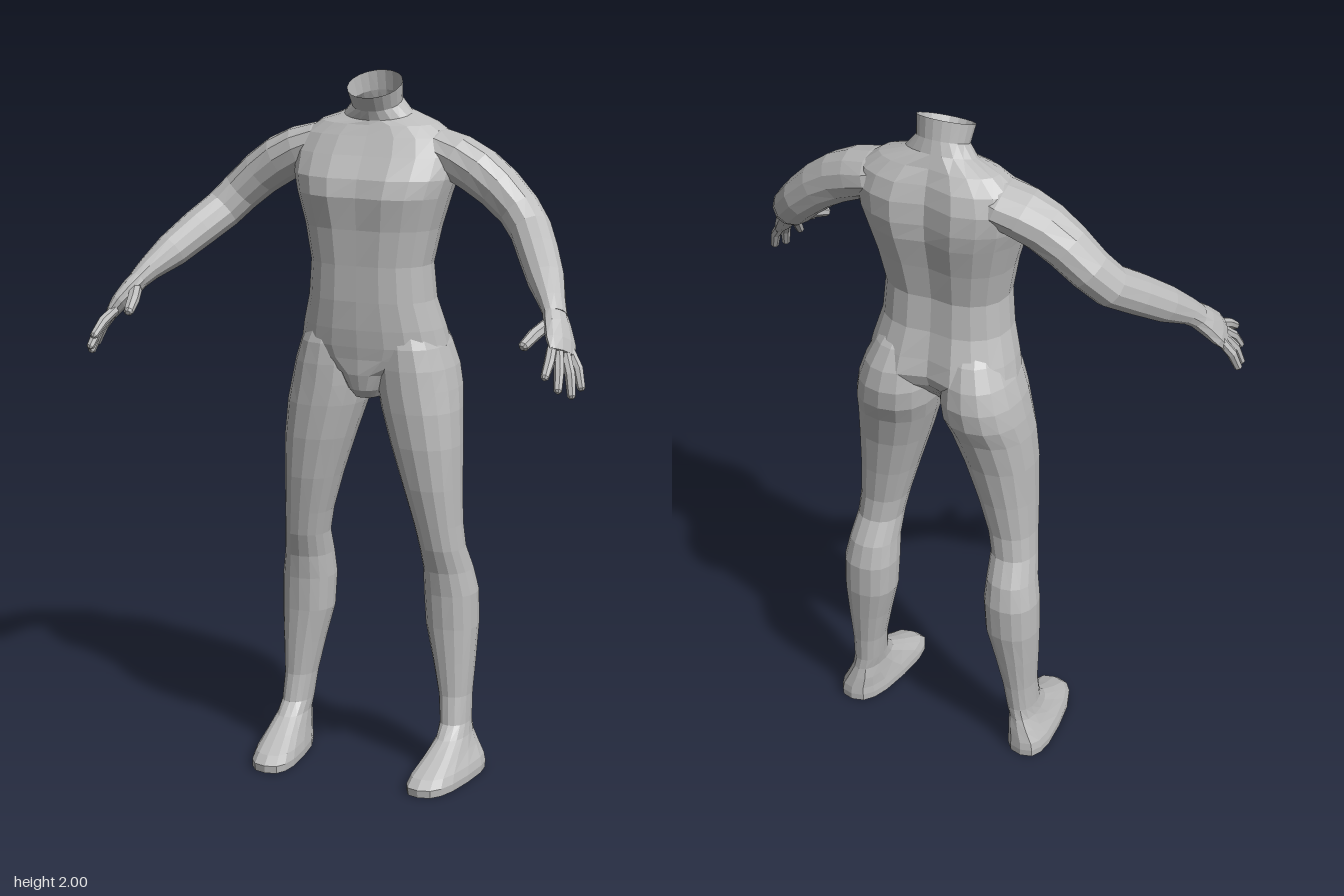
import * as THREE from 'three';

const skin = new THREE.MeshStandardMaterial({ color: 0xbcbcbc, flatShading: true, side: THREE.DoubleSide });
skin.name = 'plain grey';

// Skin a list of rings (arrays of Vector3); mirrored copies use side = -1
function loft(name, rings, { side = 1, capEnd = true } = {}) {
  const pos = [];
  const tri = (a, b, c) => {
    for (const p of side > 0 ? [a, b, c] : [a, c, b]) pos.push(p.x * side, p.y, p.z);
  };
  const n = rings[0].length;
  const middle = (ring) => ring.reduce((s, p) => s.add(p), new THREE.Vector3()).divideScalar(n);
  const last = rings[rings.length - 1];
  const c0 = middle(rings[0]), c1 = middle(last);
  for (let j = 0; j < n; j++) {
    const k = (j + 1) % n;
    for (let i = 0; i < rings.length - 1; i++) {
      const a = rings[i][j], b = rings[i][k], c = rings[i + 1][k], d = rings[i + 1][j];
      tri(a, d, b);
      tri(b, d, c);
    }
    tri(c0, rings[0][j], rings[0][k]);
    if (capEnd) tri(c1, last[k], last[j]);
  }
  const geo = new THREE.BufferGeometry();
  geo.setAttribute('position', new THREE.Float32BufferAttribute(pos, 3));
  geo.computeVertexNormals();
  const mesh = new THREE.Mesh(geo, skin);
  mesh.name = name;
  return mesh;
}

const soft = (v, e) => Math.sign(v) * Math.pow(Math.abs(v), e);

// Horizontal ring: centre x, half width, front and back z, squareness, centre grooves, tilt, toe-in
function level(y, cx, hw, zf, zb, { n = 20, e = 1, back = 0, front = 0, tilt = 0, shear = 0 } = {}) {
  const mid = (zf + zb) / 2, hz = (zf - zb) / 2;
  return Array.from({ length: n }, (_, j) => {
    const a = (j / n) * Math.PI * 2;
    const x = hw * soft(Math.cos(a), e), s = soft(Math.sin(a), e);
    const near = Math.max(0, 1 - Math.abs(x) / 0.08);
    const z = mid + hz * s + near * (s < 0 ? back : -front);
    return new THREE.Vector3(cx + x - shear * hz * s, y - tilt * s, z);
  });
}

// Elliptical tube through points [x, y, z, width radius, thickness radius]
const SPREAD = new THREE.Vector3(-0.35, 0.25, 1);
function limb(name, path, n, side) {
  const pts = path.map((p) => new THREE.Vector3(p[0], p[1], p[2]));
  const rings = pts.map((p, i) => {
    const t = pts[Math.min(i + 1, pts.length - 1)].clone().sub(pts[Math.max(i - 1, 0)]).normalize();
    const s = SPREAD.clone().addScaledVector(t, -SPREAD.dot(t)).normalize();
    const u = s.clone().cross(t);
    return Array.from({ length: n }, (_, j) => {
      const a = (j / n) * Math.PI * 2;
      return p.clone().addScaledVector(s, Math.cos(a) * path[i][3]).addScaledVector(u, Math.sin(a) * path[i][4]);
    });
  });
  return loft(name, rings, { side });
}

// y, half width, front z, back z, spine groove, chest groove, tilt
const TORSO = [
  [1.10, 0.035, -0.05, -0.14, 0, 0, 0],
  [1.125, 0.052, -0.026, -0.17, 0.01, 0, 0],
  [1.17, 0.085, -0.016, -0.235, 0.03, 0, 0],
  [1.215, 0.19, -0.015, -0.275, 0.03, 0, 0],
  [1.25, 0.215, -0.01, -0.288, 0.03, 0, 0],
  [1.30, 0.205, -0.005, -0.275, 0.025, 0, 0],
  [1.38, 0.183, 0, -0.25, 0.015, 0.004, 0],
  [1.48, 0.175, 0, -0.242, 0.015, 0.006, 0],
  [1.58, 0.195, 0.004, -0.262, 0.02, 0.008, 0],
  [1.67, 0.22, 0.018, -0.287, 0.025, 0.014, 0],
  [1.72, 0.235, 0.004, -0.295, 0.03, 0.012, 0],
  [1.78, 0.24, -0.038, -0.292, 0.03, 0.008, 0],
  [1.83, 0.22, -0.07, -0.275, 0.025, 0.006, 0],
  [1.865, 0.17, -0.088, -0.25, 0.015, 0.004, 0.006],
  [1.889, 0.1, -0.096, -0.224, 0, 0, 0.018],
  [1.92, 0.072, -0.088, -0.214, 0, 0, 0.024],
  [1.968, 0.078, -0.062, -0.205, 0, 0, 0.032],
];

// y, centre x, half width, front z, back z, toe-in
const LEG = [
  [0, 0.258, 0.067, 0.108, -0.23, 0.12],
  [0.022, 0.258, 0.068, 0.11, -0.232, 0.12],
  [0.045, 0.258, 0.063, 0.084, -0.23, 0.12],
  [0.08, 0.256, 0.051, 0.012, -0.224, 0.08],
  [0.115, 0.254, 0.043, -0.052, -0.218, 0.04],
  [0.15, 0.25, 0.042, -0.09, -0.216, 0],
  [0.23, 0.244, 0.046, -0.105, -0.224, 0],
  [0.33, 0.236, 0.06, -0.105, -0.24, 0],
  [0.43, 0.226, 0.075, -0.105, -0.256, 0],
  [0.53, 0.222, 0.077, -0.1, -0.26, 0],
  [0.60, 0.217, 0.069, -0.09, -0.245, 0],
  [0.67, 0.21, 0.064, -0.068, -0.21, 0],
  [0.74, 0.2, 0.068, -0.055, -0.205, 0],
  [0.85, 0.183, 0.082, -0.035, -0.218, 0],
  [0.97, 0.163, 0.1, -0.022, -0.238, 0],
  [1.07, 0.144, 0.112, -0.018, -0.265, 0],
  [1.13, 0.132, 0.115, -0.018, -0.293, 0],
  [1.19, 0.124, 0.111, -0.018, -0.301, 0],
  [1.25, 0.117, 0.098, -0.022, -0.29, 0],
  [1.31, 0.106, 0.08, -0.04, -0.262, 0],
  [1.36, 0.1, 0.06, -0.07, -0.22, 0],
];

const ARM = [
  [0.13, 1.808, -0.178, 0.07, 0.05],
  [0.18, 1.792, -0.175, 0.083, 0.06],
  [0.24, 1.77, -0.168, 0.08, 0.068],
  [0.3, 1.74, -0.163, 0.073, 0.069],
  [0.36, 1.698, -0.16, 0.066, 0.065],
  [0.42, 1.643, -0.152, 0.061, 0.06],
  [0.465, 1.593, -0.125, 0.059, 0.058],
  [0.51, 1.545, -0.06, 0.057, 0.056],
  [0.56, 1.488, 0.015, 0.052, 0.05],
  [0.6, 1.442, 0.078, 0.04, 0.035],
  [0.622, 1.412, 0.11, 0.037, 0.028],
];

const PALM = [
  [0.612, 1.425, 0.095, 0.036, 0.028],
  [0.635, 1.39, 0.13, 0.047, 0.027],
  [0.655, 1.355, 0.16, 0.055, 0.023],
  [0.668, 1.328, 0.18, 0.05, 0.016],
];

// Root, middle and tip of every finger
const FINGERS = {
  thumb: [[0.61, 1.395, 0.14], [0.592, 1.375, 0.19], [0.58, 1.352, 0.24]],
  indexFinger: [[0.645, 1.345, 0.2], [0.656, 1.32, 0.25], [0.66, 1.288, 0.295]],
  middleFinger: [[0.66, 1.335, 0.19], [0.678, 1.295, 0.235], [0.687, 1.25, 0.268]],
  ringFinger: [[0.672, 1.328, 0.17], [0.697, 1.28, 0.202], [0.709, 1.228, 0.222]],
  littleFinger: [[0.675, 1.33, 0.145], [0.704, 1.288, 0.16], [0.719, 1.24, 0.175]],
};

export function createModel() {
  const model = new THREE.Group();
  model.name = 'headlessFigure';

  // Torso with the open neck
  model.add(loft('torso', TORSO.map(([y, hw, zf, zb, back, front, tilt]) =>
    level(y, 0, hw, zf, zb, { e: y > 1.88 ? 1 : 0.85, back, front, tilt })), { capEnd: false }));

  for (const [label, side] of [['left', 1], ['right', -1]]) {
    // Leg and foot in one skin, squarer around the foot
    model.add(loft(label + 'Leg', LEG.map(([y, cx, hw, zf, zb, shear]) =>
      level(y, cx, hw, zf, zb, { n: 16, e: y < 0.1 ? 0.72 : 0.9, shear })), { side }));

    // Arm and hand
    model.add(limb(label + 'Arm', ARM, 12, side));
    const hand = new THREE.Group();
    hand.name = label + 'Hand';
    hand.add(limb('palm', PALM, 10, side));
    for (const [name, [root, mid, tip]] of Object.entries(FINGERS)) {
      const r = name === 'thumb' ? 0.018 : 0.0145;
      const end = tip.map((v, i) => v + (tip[i] - mid[i]) * 0.12);
      hand.add(limb(name, [[...root, r, r], [...mid, r, r], [...tip, r * 0.8, r * 0.8], [...end, r * 0.4, r * 0.4]], 7, side));
    }
    model.add(hand);
  }
  return model;
}
